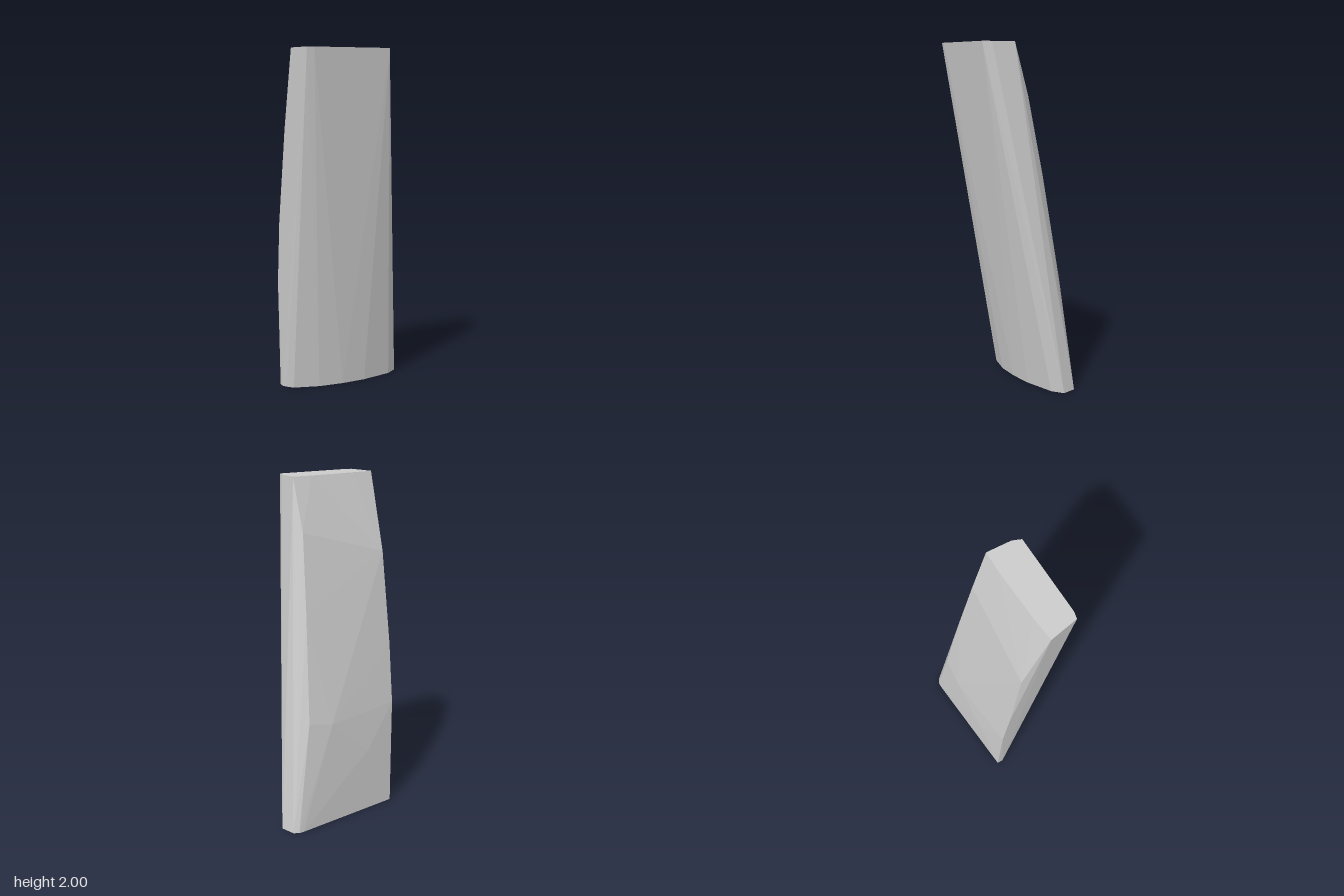
import * as THREE from 'three';
import { ConvexGeometry } from 'three/addons/geometries/ConvexGeometry.js';

// Outlines as [x, z] pairs
const topOutline = [
  [-0.385, 0.085], [-0.355, 0.247], [-0.315, 0.255], [0.14, 0.24],
  [0.16, 0.19], [0.167, 0.05], [0.05, 0.05], [-0.25, 0.07],
];
const baseOutline = [
  [-0.37, -0.19], [-0.37, -0.155], [-0.355, -0.13], [-0.32, -0.095], [-0.17, -0.057],
  [-0.02, -0.05], [0.13, -0.062], [0.32, -0.108], [0.385, -0.155],
  [0.36, -0.24], [0.33, -0.258], [0.3, -0.258],
];
// Facet corners of the bowed back, as [x, y, z]
const backCorners = [
  [0.16, 1.7, -0.04], [-0.375, 1.55, -0.058], [0.19, 1.25, -0.12],
  [-0.39, 1.0, -0.125], [-0.387, 0.64, -0.168], [0.08, 0.61, -0.222],
  [0.23, 0.64, -0.212], [-0.18, 0.38, -0.21],
];

export function createModel() {
  const group = new THREE.Group();
  group.name = 'leaningSlab';

  const atHeight = (outline, y) => outline.map(([x, z]) => new THREE.Vector3(x, y, z));
  const points = [
    ...atHeight(baseOutline, 0),
    ...atHeight(topOutline, 2),
    ...backCorners.map((p) => new THREE.Vector3(...p)),
  ];

  // Tapered slab: straight leaning front, faceted back
  const slab = new THREE.Mesh(
    new ConvexGeometry(points),
    new THREE.MeshStandardMaterial({ color: 0xcccccc, flatShading: true }),
  );
  slab.name = 'slab';
  group.add(slab);
  return group;
}
